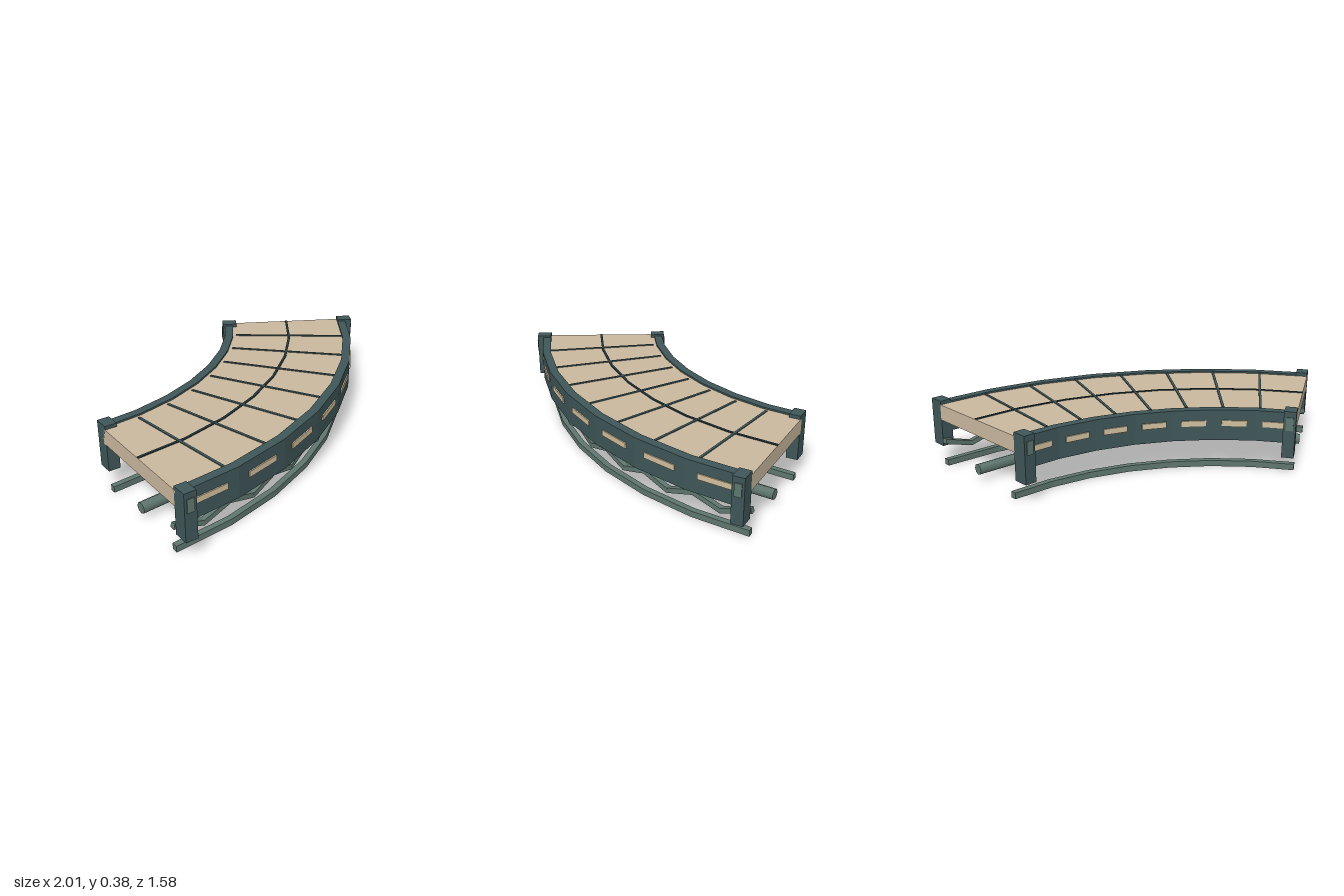
import * as THREE from 'three';

const CX = -1, CZ = -1.526;          // centre of the curve
const SWEEP = Math.PI / 3, N = 7;    // 60 degree bend in seven straight panels
const STEP = SWEEP / N;
const R_IN = 1.51, R_OUT = 2.265, R_MID = 1.8875;

const mat = (name, color) => Object.assign(new THREE.MeshStandardMaterial({ color }), { name });

export function createModel() {
  const frame = mat('dark teal frame', 0x3f5658);
  const dark = mat('deep teal seam', 0x24363a);
  const metal = mat('grey green metal', 0x5f766f);
  const tan = mat('tan deck', 0xcbb99f);
  const pale = mat('pale tan window', 0xd2c09f);

  const model = new THREE.Group();
  model.name = 'curvedBridge';

  const point = (r, a, y) => new THREE.Vector3(CX + r * Math.sin(a), y, CZ + r * Math.cos(a));
  const add = (name, geo, material, parent = model) => {
    const m = new THREE.Mesh(geo, material);
    m.name = name;
    parent.add(m);
    return m;
  };
  // Places a mesh on the curve: local x along the curve, local z outward
  const place = (obj, r, a, y) => {
    obj.position.copy(point(r, a, y));
    obj.rotation.y = a;
    return obj;
  };
  // Faceted curved bar between two radii and two heights
  const arcBar = (name, r0, r1, y0, y1, material) => {
    const pts = [];
    for (let i = 0; i <= N; i++) pts.push(point(r1, i * STEP, 0));
    for (let i = N; i >= 0; i--) pts.push(point(r0, i * STEP, 0));
    const shape = new THREE.Shape(pts.map(p => new THREE.Vector2(p.x, -p.z)));
    const geo = new THREE.ExtrudeGeometry(shape, { depth: y1 - y0, bevelEnabled: false });
    geo.rotateX(-Math.PI / 2).translate(0, y0, 0);
    return add(name, geo, material);
  };

  // Deck with its seams
  arcBar('deck', 1.525, 2.235, 0.265, 0.355, tan);
  arcBar('centreSeam', R_MID - 0.007, R_MID + 0.007, 0.354, 0.36, dark);
  for (let i = 1; i < 8; i++) {
    place(add('crossSeam', new THREE.BoxGeometry(0.014, 0.006, 0.67), frame), R_MID, i * SWEEP / 8, 0.357);
  }

  // Side rails, their windows and the end posts
  for (const [label, r, post, out] of [['inner', 1.51, R_IN, -1], ['outer', 2.25, R_OUT, 1]]) {
    arcBar(label + 'Rail', r - 0.025, r + 0.025, 0.19, 0.365, frame);
    const face = (r + out * 0.025) * Math.cos(STEP / 2);
    for (let i = 0; i < N; i++) {
      const w = 2 * r * Math.sin(STEP / 2) * 0.6;
      place(add(label + 'Window', new THREE.BoxGeometry(w, 0.032, 0.008), pale), face + out * 0.003, (i + 0.5) * STEP, 0.29);
    }
    for (const [a, dx] of [[0, 0.0335], [SWEEP, -0.0335]]) {
      const g = place(new THREE.Group(), post, a, 0);
      g.name = label + 'Post';
      model.add(g);
      add('postBody', new THREE.BoxGeometry(0.067, 0.267, 0.086), frame, g).position.set(dx, 0.242, 0);
      add('postPlate', new THREE.BoxGeometry(0.04, 0.075, 0.009), metal, g).position.set(dx, 0.305, out * 0.0435);
    }
  }

  // Low guide rails
  arcBar('innerGuideRail', 1.562, 1.596, 0, 0.035, metal);
  arcBar('outerGuideRail', 2.183, 2.217, 0, 0.035, metal);

  // Central pipe in straight lengths
  for (let i = 0; i < N; i++) {
    const len = 2 * R_MID * Math.sin(STEP / 2) + 0.004;
    const pipe = new THREE.CylinderGeometry(0.031, 0.031, len, 8).rotateZ(Math.PI / 2);
    place(add('centrePipe', pipe, metal), R_MID * Math.cos(STEP / 2), (i + 0.5) * STEP, 0.068);
  }

  // Zigzag bracing under the outer rail
  for (let i = 0; i < 2 * N; i++) {
    const a = point(2.2, i * STEP / 2, i % 2 ? 0.095 : 0.145);
    const b = point(2.2, (i + 1) * STEP / 2, i % 2 ? 0.145 : 0.095);
    const strut = add('zigzagStrut', new THREE.BoxGeometry(0.03, 0.028, a.distanceTo(b) + 0.008), metal);
    strut.position.copy(a).add(b).multiplyScalar(0.5);
    strut.lookAt(b);
  }
  return model;
}
